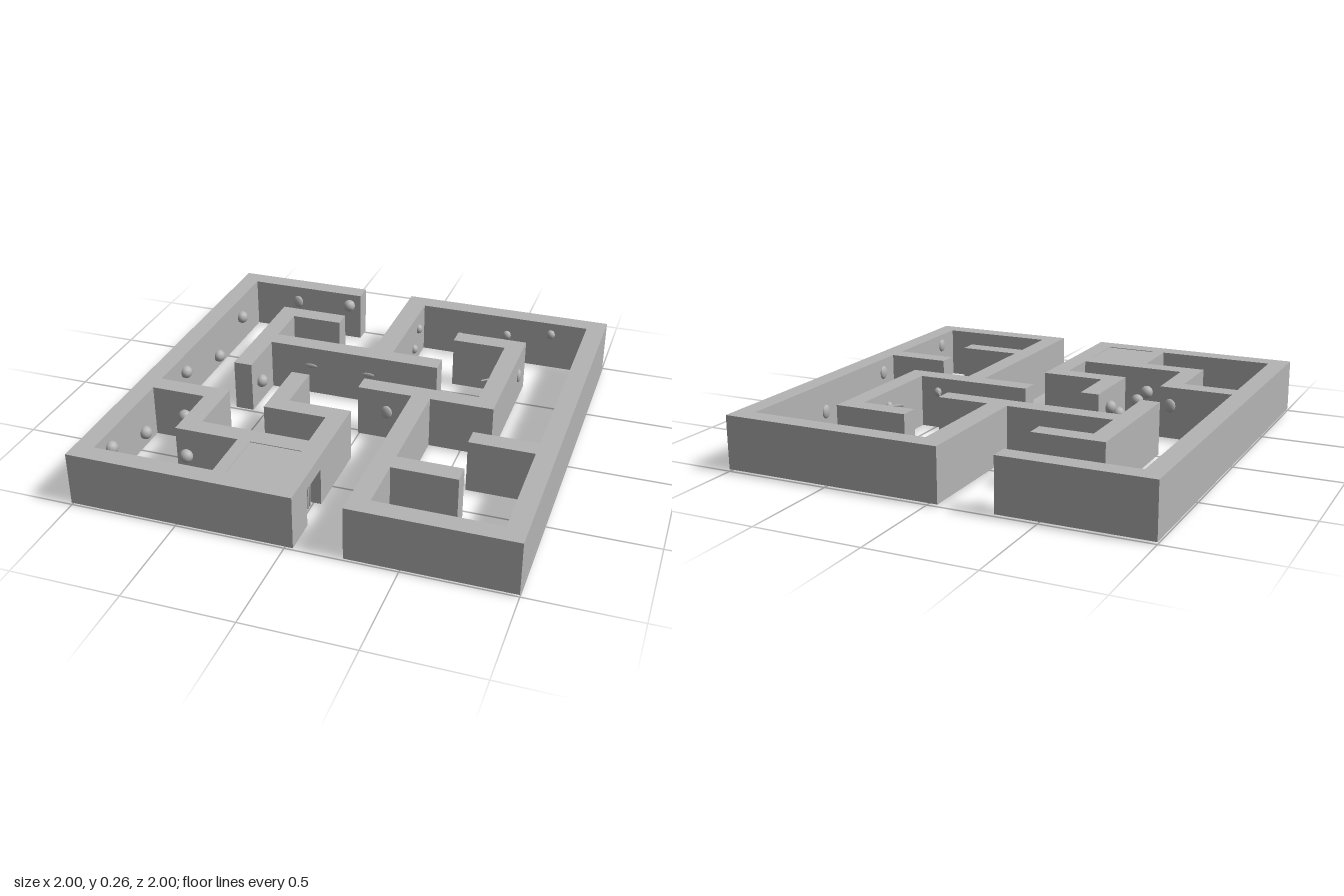
import * as THREE from 'three';

const stone = new THREE.MeshStandardMaterial({ color: 0xb4b4b4 });
stone.name = 'grey stone';
const BOTTOM = 0.01, TOP = 0.26;

// Box given by its extents
function block(name, x0, z0, x1, z1, y0 = BOTTOM, y1 = TOP) {
  const m = new THREE.Mesh(new THREE.BoxGeometry(x1 - x0, y1 - y0, z1 - z0), stone);
  m.name = name;
  m.position.set((x0 + x1) / 2, (y0 + y1) / 2, (z0 + z1) / 2);
  return m;
}

// Ground plan: x0, z0, x1, z1
const OUTER = [
  [-1, -1, -0.91, 1], [0.91, -1, 1, 1],
  [-0.91, -1, -0.31, -0.91], [-0.05, -1, 0.91, -0.91],
  [-0.91, 0.91, 0.04, 1], [0.26, 0.91, 0.91, 1],
];
const INNER = [
  [-0.05, -0.91, 0.05, -0.35], [-0.56, -0.35, 0.3, -0.26],
  [-0.65, -0.66, -0.56, 0], [-0.56, -0.66, -0.31, -0.57],
  [0.3, -0.66, 0.56, -0.57], [0.56, -0.66, 0.65, 0.04],
  [0, -0.05, 0.56, 0.04], [0.26, 0.04, 0.35, 0.91],
  [0.35, 0.56, 0.65, 0.65], [0.61, 0.26, 0.91, 0.35],
  [-0.91, 0.26, -0.65, 0.35], [-0.65, 0.26, -0.56, 0.65],
  [-0.56, 0.56, -0.05, 0.65], [-0.35, 0, -0.26, 0.26],
  [-0.35, 0.26, -0.05, 0.35], [-0.35, 0.65, -0.29, 0.91],
  [-0.05, 0.26, 0.04, 0.66], [-0.05, 0.83, 0.04, 0.91],
];

// Wall ornaments: x, y, z, facing, kind
const ORNAMENTS = [
  [-0.91, 0.16, -0.66, '+x', 'knob'], [-0.91, 0.08, -0.35, '+x', 'knob'],
  [-0.91, 0.18, 0.03, '+x', 'knob'], [-0.91, 0.09, 0.48, '+x', 'knob'],
  [-0.91, 0.19, 0.79, '+x', 'knob'], [-0.67, 0.175, -0.91, '+z', 'chip'],
  [-0.44, 0.08, -0.91, '+z', 'knob'], [-0.37, 0.2, -0.91, '+z', 'knob'],
  [0.25, 0.11, -0.91, '+z', 'bud'], [0.5, 0.16, -0.91, '+z', 'bud'],
  [0.555, 0.08, -0.91, '+z', 'torch'], [0.73, 0.2, -0.91, '+z', 'bud'],
  [0.05, 0.18, -0.79, '+x', 'bud'], [0.05, 0.1, -0.71, '+x', 'bud'],
  [0.05, 0.15, -0.46, '+x', 'bud'], [0.56, 0.13, -0.46, '-x', 'bud'],
  [0.56, 0.19, -0.37, '-x', 'torch'], [0.56, 0.12, -0.23, '-x', 'bud'],
  [0.65, 0.15, -0.51, '+x', 'chip'], [0.24, 0.12, -0.05, '-z', 'bud'],
  [0.47, 0.19, -0.05, '-z', 'torch'], [0.14, 0.15, 0.04, '+z', 'chip'],
  [0.91, 0.15, -0.74, '-x', 'chip'], [0.91, 0.12, -0.37, '-x', 'chip'],
  [0.91, 0.19, 0.16, '-x', 'chip'], [0.91, 0.14, 0.47, '-x', 'chip'],
  [0.91, 0.2, 0.78, '-x', 'chip'], [0.35, 0.15, 0.46, '+x', 'chip'],
  [-0.35, 0.16, -0.26, '+z', 'flake'], [-0.05, 0.16, -0.26, '+z', 'flake'],
  [-0.56, 0.13, -0.09, '+x', 'knob'], [-0.35, 0.17, 0.12, '-x', 'knob'],
  [-0.35, 0.11, 0.23, '-x', 'knob'], [-0.05, 0.15, 0.51, '-x', 'knob'],
  [-0.55, 0.18, 0.56, '-z', 'bud'], [-0.39, 0.14, 0.56, '-z', 'knob'],
  [-0.34, 0.09, 0.56, '-z', 'knob'], [-0.61, 0.17, 0.26, '-z', 'chip'],
  [-0.75, 0.14, 0.35, '+z', 'knob'], [-0.6, 0.13, 0.65, '+z', 'knob'],
  [-0.52, 0.09, 0.91, '-z', 'knob'],
];
// Half width, half height, depth and sinking of each kind
const KINDS = {
  knob: [0.032, 0.032, 0.03, 0.012], bud: [0.022, 0.024, 0.02, 0.004],
  torch: [0.02, 0.022, 0.018, 0.004], chip: [0.028, 0.034, 0.014, 0],
  flake: [0.032, 0.012, 0.005, 0],
};
const TURN = { '+z': 0, '+x': Math.PI / 2, '-z': Math.PI, '-x': -Math.PI / 2 };

function ornament([x, y, z, facing, kind]) {
  const g = new THREE.Group();
  g.name = 'wallOrnament';
  const [w, h, d, out] = KINDS[kind];
  const body = new THREE.Mesh(new THREE.SphereGeometry(1, 12, 8), stone);
  body.name = kind;
  body.scale.set(w, h, d);
  body.position.z = out;
  g.add(body);
  if (kind === 'torch') {
    const stick = new THREE.Mesh(new THREE.CylinderGeometry(0.005, 0.005, 0.07, 6), stone);
    stick.name = 'stick';
    stick.position.set(0.02, 0, 0.03);
    stick.rotation.set(Math.PI / 2, 0, -0.7);
    g.add(stick);
  }
  g.position.set(x, y, z);
  g.rotation.y = TURN[facing];
  return g;
}

export function createModel() {
  const model = new THREE.Group();
  model.name = 'maze';
  for (const w of OUTER) model.add(block('outerWall', ...w));
  for (const w of INNER) model.add(block('innerWall', ...w));

  // Closed cell with a barred doorway
  model.add(block('cellRoof', -0.29, 0.65, -0.05, 0.91, 0.235, 0.257));
  model.add(block('doorLintel', -0.05, 0.66, 0.04, 0.83, 0.19, TOP));
  const floor = new THREE.Mesh(new THREE.PlaneGeometry(0.34, 0.37), stone);
  floor.name = 'cellFloor';
  floor.rotation.x = -Math.PI / 2;
  floor.position.set(-0.18, 0.005, 0.755);
  model.add(floor);
  for (let i = 0; i < 8; i++) {
    const bar = new THREE.Mesh(new THREE.CylinderGeometry(0.005, 0.005, 0.19, 8), stone);
    bar.name = 'doorBar';
    bar.position.set(-0.008, 0.095, 0.675 + i * 0.02);
    model.add(bar);
  }

  for (const o of ORNAMENTS) model.add(ornament(o));
  return model;
}
